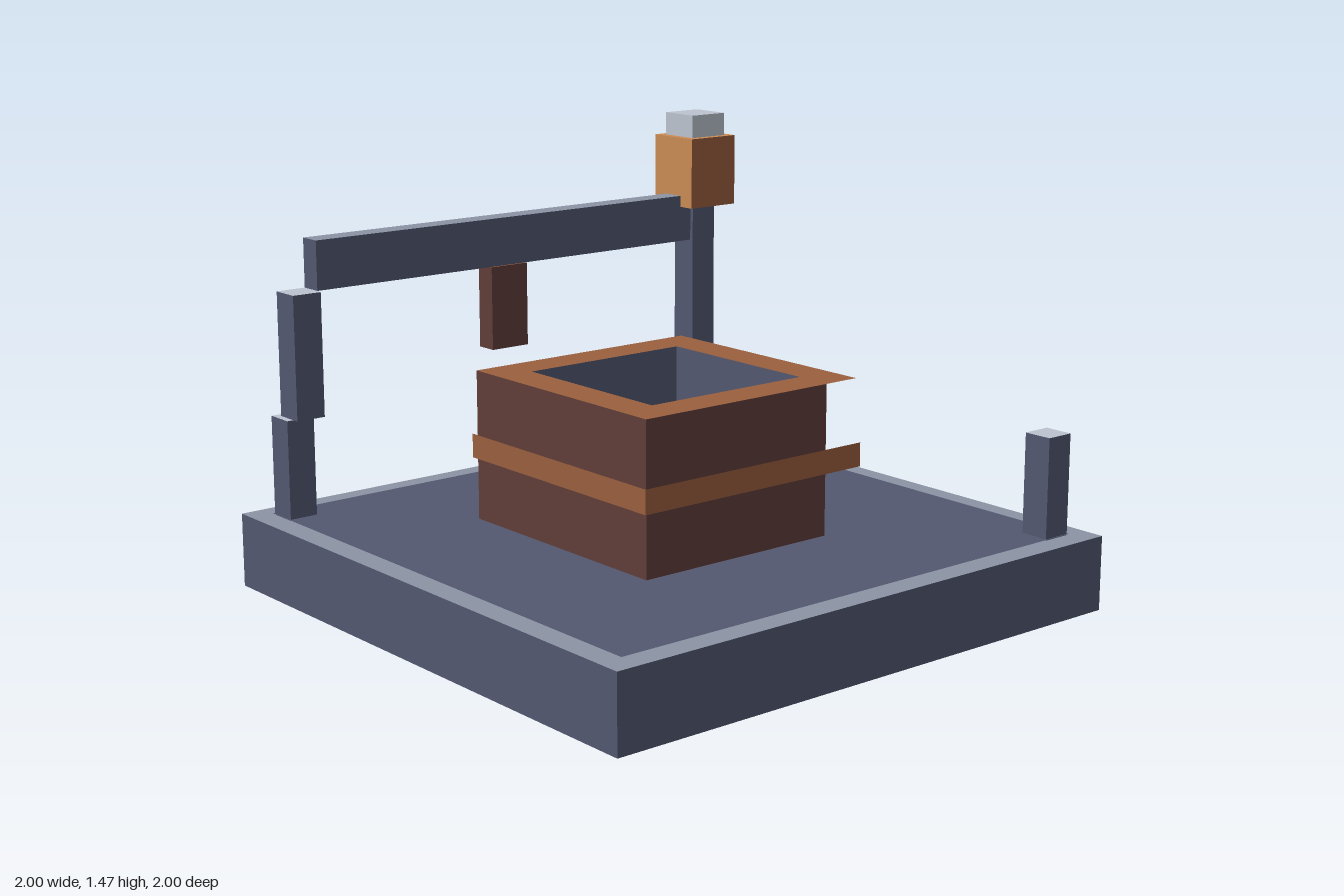
import * as THREE from 'three';

const mat = (name, color) => {
  const m = new THREE.MeshStandardMaterial({ color, side: THREE.DoubleSide });
  m.name = name;
  return m;
};

export function createModel() {
  const slate = mat('dark slate', 0x535870);
  const steel = mat('grey steel', 0x8c94a5);
  const pale = mat('pale grey', 0xbcc3cf);
  const brown = mat('dark brown', 0x603e39);
  const rust = mat('rust', 0x9a5f3e);
  const orange = mat('copper orange', 0xcb8c54);

  const model = new THREE.Group();
  model.name = 'wellYard';

  const addMesh = (parent, name, geometry, material) => {
    const mesh = new THREE.Mesh(geometry, material);
    mesh.name = name;
    parent.add(mesh);
  };

  // Open block: only its front (+z), left (+x) and top faces; a face without a material is skipped
  function block(name, [x0, x1], [y0, y1], [z0, z1], { front, side, top }) {
    const group = new THREE.Group();
    group.name = name;
    const w = x1 - x0, h = y1 - y0, d = z1 - z0;
    const cx = (x0 + x1) / 2, cy = (y0 + y1) / 2, cz = (z0 + z1) / 2;
    if (front) addMesh(group, name + 'Front', new THREE.PlaneGeometry(w, h).translate(cx, cy, z1), front);
    if (side) addMesh(group, name + 'Side', new THREE.PlaneGeometry(d, h).rotateY(Math.PI / 2).translate(x1, cy, cz), side);
    if (top) addMesh(group, name + 'Top', new THREE.PlaneGeometry(w, d).rotateX(-Math.PI / 2).translate(cx, y1, cz), top);
    model.add(group);
  }

  // Flat square ring facing up
  function squareRing(name, outer, inner, y, material) {
    const square = (Type, r) => new Type([[-r, -r], [r, -r], [r, r], [-r, r]].map(([a, b]) => new THREE.Vector2(a, b)));
    const shape = square(THREE.Shape, outer);
    shape.holes.push(square(THREE.Path, inner));
    addMesh(model, name, new THREE.ShapeGeometry(shape).rotateX(-Math.PI / 2).translate(0, y, 0), material);
  }

  const slateBlock = { front: slate, side: slate, top: pale };

  // Base plate with a dark floor laid on it, leaving a lighter border
  block('base', [-1, 1], [0, 0.25], [-1, 1], { front: slate, side: slate, top: steel });
  block('floor', [-0.925, 0.925], [0.25, 0.254], [-0.925, 0.925], { top: slate });

  // Central basin: outer walls, band, rim and sunken inside
  block('basinFrontWall', [-0.435, 0.435], [0.25, 0.755], [-0.435, 0.435], { front: brown });
  block('basinSideWall', [-0.435, 0.435], [0.25, 0.755], [-0.305, 0.435], { side: brown });
  block('basinBand', [-0.447, 0.447], [0.463, 0.543], [-0.447, 0.447], { front: rust, side: rust });
  squareRing('basinRim', 0.435, 0.307, 0.755, rust);
  block('basinInnerBack', [-0.307, 0.307], [0.55, 0.755], [-0.307, -0.307], { front: slate });
  block('basinInnerSide', [-0.307, -0.307], [0.55, 0.755], [-0.307, 0.307], { side: slate });
  block('basinFloor', [-0.307, 0.307], [0.55, 0.55], [-0.307, 0.307], { top: slate });

  // Corner posts
  block('frontPostFoot', [-0.92, -0.82], [0.25, 0.588], [0.82, 0.92], slateBlock);
  block('frontPost', [-0.897, -0.795], [0.588, 1.005], [0.793, 0.897], slateBlock);
  block('backPost', [-0.897, -0.795], [0.25, 1.17], [-0.895, -0.793], slateBlock);
  block('shortPost', [0.82, 0.92], [0.25, 0.588], [-0.92, -0.82], slateBlock);

  // Beam and the piece hanging from it
  block('beam', [-0.887, -0.809], [1.007, 1.173], [-0.8, 0.797], { front: slate, side: slate, top: steel });
  block('hanger', [-0.887, -0.811], [0.715, 1.005], [-0.05, 0.1], { front: brown, side: brown, top: rust });

  // Lantern on the back post
  block('lantern', [-0.95, -0.745], [1.133, 1.385], [-0.95, -0.745], { front: orange, side: rust, top: orange });
  block('lanternCap', [-0.922, -0.772], [1.385, 1.466], [-0.922, -0.772], { front: pale, side: pale, top: pale });

  return model;
}
